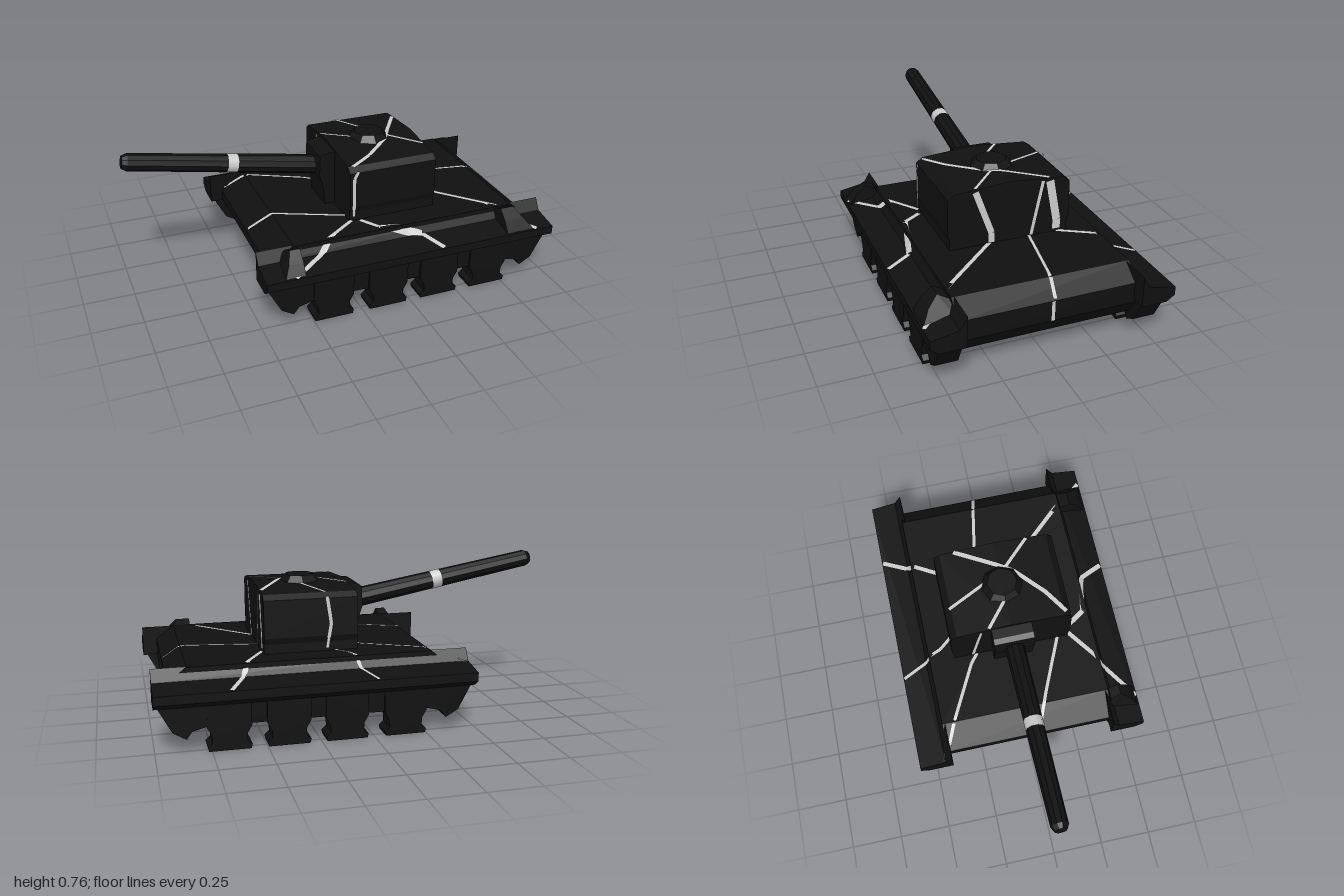
import * as THREE from 'three';

const dark = new THREE.MeshStandardMaterial({ color: 0x101010, flatShading: true });
const pale = new THREE.MeshStandardMaterial({ color: 0xcccccc, side: THREE.DoubleSide });

export function createModel() {
  const model = new THREE.Group();
  const add = (name, geometry, material = dark) => {
    const mesh = new THREE.Mesh(geometry, material);
    mesh.name = name;
    model.add(mesh);
    return mesh;
  };

  // Side outline [x, y] extruded from z0 to z1
  const alongZ = (pts, z0, z1) => new THREE.ExtrudeGeometry(
    new THREE.Shape(pts.map(p => new THREE.Vector2(...p))), { depth: z1 - z0, bevelEnabled: false }
  ).translate(0, 0, z0);

  // Cross-section [z, y] extruded from x0 to x1
  const alongX = (pts, x0, x1) => new THREE.ExtrudeGeometry(
    new THREE.Shape(pts.map(([z, y]) => new THREE.Vector2(-z, y))), { depth: x1 - x0, bevelEnabled: false }
  ).rotateY(Math.PI / 2).translate(x0, 0, 0);

  // Cylinder between two points
  const rod = (a, b, ra, rb, sides) => {
    const from = new THREE.Vector3(...a), dir = new THREE.Vector3(...b).sub(from);
    const g = new THREE.CylinderGeometry(rb, ra, dir.length(), sides);
    g.applyQuaternion(new THREE.Quaternion().setFromUnitVectors(new THREE.Vector3(0, 1, 0), dir.clone().normalize()));
    return g.translate(...from.addScaledVector(dir, 0.5).toArray());
  };

  // Hull body with sloping nose and tail
  add('hull', alongZ([[-0.43, 0.27], [-0.31, 0.365], [0.84, 0.365], [0.93, 0.3], [0.93, 0.2],
    [0.87, 0.115], [-0.34, 0.115], [-0.43, 0.22]], -0.425, 0.425));

  // Running gear, mirrored on both sides
  const endBlock = [[-0.49, 0.25], [-0.41, 0.1], [-0.35, 0.065], [-0.325, 0.1], [-0.25, 0.12], [-0.22, 0.25]];
  for (const s of [1, -1]) {
    const side = s > 0 ? 'left' : 'right';
    const band = (pts, inner, outer) => alongZ(pts, Math.min(s * inner, s * outer), Math.max(s * inner, s * outer));
    const section = [[0.41, 0.365], [0.445, 0.308], [0.575, 0.285], [0.575, 0.243], [0.535, 0.215], [0.41, 0.215]];
    add(side + 'Fender', alongX(section.map(([z, y]) => [s * z, y]), -0.49, 1).translate(0, 0, 0));
    add(side + 'Sponson', band([[-0.43, 0.25], [-0.34, 0.115], [0.86, 0.115], [0.93, 0.25]], 0.4, 0.52));
    add(side + 'FrontTrackEnd', band(endBlock, 0.425, 0.53));
    add(side + 'RearTrackEnd', band(endBlock.map(([x, y]) => [0.51 - x, y]), 0.425, 0.53));
    for (const x of [-0.15, 0.13, 0.4, 0.67]) {
      const half = [[0.095, 0], [0.1, 0.02], [0.078, 0.04], [0.08, 0.075], [0.1, 0.11], [0.1, 0.24]];
      const outline = [...half, ...half.slice().reverse().map(([a, b]) => [-a, b])];
      add(side + 'RoadWheel', band(outline.map(([a, b]) => [x + a, b]), 0.428, 0.533));
    }
  }

  // Raised fender humps at the two ends of one side
  const hump = [[0.41, 0.28], [0.43, 0.36], [0.48, 0.384], [0.53, 0.34], [0.57, 0.28]];
  for (const [a, b, lean] of [[-0.4, -0.3, 0.05], [0.75, 0.9, -0.08]]) {
    const g = alongX(hump, a, b), p = g.attributes.position;
    for (let i = 0; i < p.count; i++) {
      const outer = lean > 0 ? p.getX(i) < a + 0.01 : p.getX(i) > b - 0.01;
      if (outer) p.setX(i, p.getX(i) + lean * THREE.MathUtils.clamp((p.getY(i) - 0.28) / 0.1, 0, 1));
    }
    g.computeVertexNormals();
    add('fenderHump', g);
  }

  // Turret, mantlet and hatch
  const half = [[0.295, 0.36], [0.295, 0.41], [0.305, 0.44], [0.302, 0.62], [0.27, 0.643]];
  add('turret', alongX([...half, [0, 0.664], ...half.slice().reverse().map(([z, y]) => [-z, y])], 0.02, 0.47));
  add('mantlet', alongZ([[0.03, 0.37], [-0.03, 0.37], [-0.04, 0.47], [-0.06, 0.53], [-0.055, 0.63],
    [-0.03, 0.645], [0.03, 0.65]], -0.1, 0.1));
  add('hatch', new THREE.CylinderGeometry(0.075, 0.115, 0.045, 8).translate(0.24, 0.667, 0));

  // Gun barrel with rounded muzzle and a pale break
  const at = x => [x, 0.552 + (-0.05 - x) * 0.182, 0];
  add('barrel', rod(at(0), at(-0.97), 0.049, 0.042, 10));
  add('muzzle', rod(at(-0.97), at(-0.994), 0.042, 0.03, 10));
  add('barrelBreak', rod(at(-0.45), at(-0.5), 0.0465, 0.0465, 10), pale);

  // Fracture line: a thin strip laid on a surface given by place(u, v)
  const crack = (place, pts, width = 0.016) => {
    const pos = [], index = [];
    for (let k = 0; k + 1 < pts.length; k++) {
      const a = new THREE.Vector2(...pts[k]), b = new THREE.Vector2(...pts[k + 1]);
      const d = b.clone().sub(a).normalize().multiplyScalar(width / 2);
      for (let i = 0; i <= 12; i++) {
        const c = a.clone().lerp(b, i / 12), n = pos.length / 3;
        pos.push(...place(c.x - d.y, c.y + d.x), ...place(c.x + d.y, c.y - d.x));
        if (i < 12) index.push(n, n + 1, n + 2, n + 1, n + 3, n + 2);
      }
    }
    const g = new THREE.BufferGeometry();
    g.setAttribute('position', new THREE.Float32BufferAttribute(pos, 3));
    g.setIndex(index);
    g.computeVertexNormals();
    add('fractureLine', g, pale);
  };
  const deck = (x, z) => {
    const w = Math.abs(z);
    let y = w < 0.41 ? 0.365 : w < 0.445 ? 0.365 - (w - 0.41) * 1.63 : 0.308 - (w - 0.445) * 0.177;
    if (w < 0.425) y = Math.min(y, 0.365 - Math.max(0, -0.31 - x) * 0.79, 0.365 - Math.max(0, x - 0.84) * 0.72);
    return [x, y + 0.004, z];
  };
  const roof = (x, z) => [x, 0.668 - Math.abs(z) * 0.078, z];
  const belly = (x, z) => [x, 0.112, z];
  const face = x => (z, y) => [x, y, z];
  const flank = z => (x, y) => [x, y, z];

  // Deck fractures
  crack(deck, [[-0.01, -0.57], [0.08, -0.36], [0.13, -0.3]]);
  crack(deck, [[0.66, -0.57], [0.47, -0.24]], 0.022);
  crack(deck, [[-0.48, -0.45], [-0.03, -0.22], [0.02, -0.18]]);
  crack(deck, [[0.47, -0.1], [0.925, -0.02]]);
  crack(deck, [[0.47, 0.1], [0.91, 0.57]], 0.022);
  crack(deck, [[-0.42, 0.05], [-0.25, 0.12], [0.02, 0.24]]);
  crack(deck, [[0.03, 0.3], [-0.35, 0.57]], 0.022);
  crack(deck, [[0.07, 0.31], [0.13, 0.4], [0.34, 0.45], [0.4, 0.57]], 0.025);
  // Turret fractures
  crack(roof, [[0.465, -0.2], [0.3, 0.07], [0.16, 0.2], [0.04, 0.28]], 0.022);
  crack(roof, [[0.025, -0.11], [0.28, 0.1]]);
  crack(roof, [[0.17, -0.28], [0.31, 0.02], [0.465, 0.17]]);
  crack(face(0.473), [[0.17, 0.64], [0.09, 0.42], [0.09, 0.37]], 0.03);
  crack(face(0.473), [[-0.165, 0.64], [-0.11, 0.37]]);
  crack(face(0.473), [[-0.2, 0.635], [-0.24, 0.43], [-0.24, 0.38]], 0.04);
  crack(face(0.017), [[-0.15, 0.64], [-0.2, 0.37]]);
  crack(flank(0.307), [[0.06, 0.63], [0.04, 0.59], [0.04, 0.39]]);
  crack(flank(-0.307), [[0.17, 0.63], [0.15, 0.5], [0.17, 0.38]]);
  // Hull end and belly fractures
  crack(face(0.933), [[-0.01, 0.3], [-0.01, 0.2]]);
  for (const end of [[0.86, 0], [0.85, -0.38], [0.2, -0.41], [-0.32, -0.25], [-0.3, 0.2], [0.3, 0.41], [0.8, 0.4]])
    crack(belly, [[0.25, 0.03], end], 0.014);

  return model;
}
